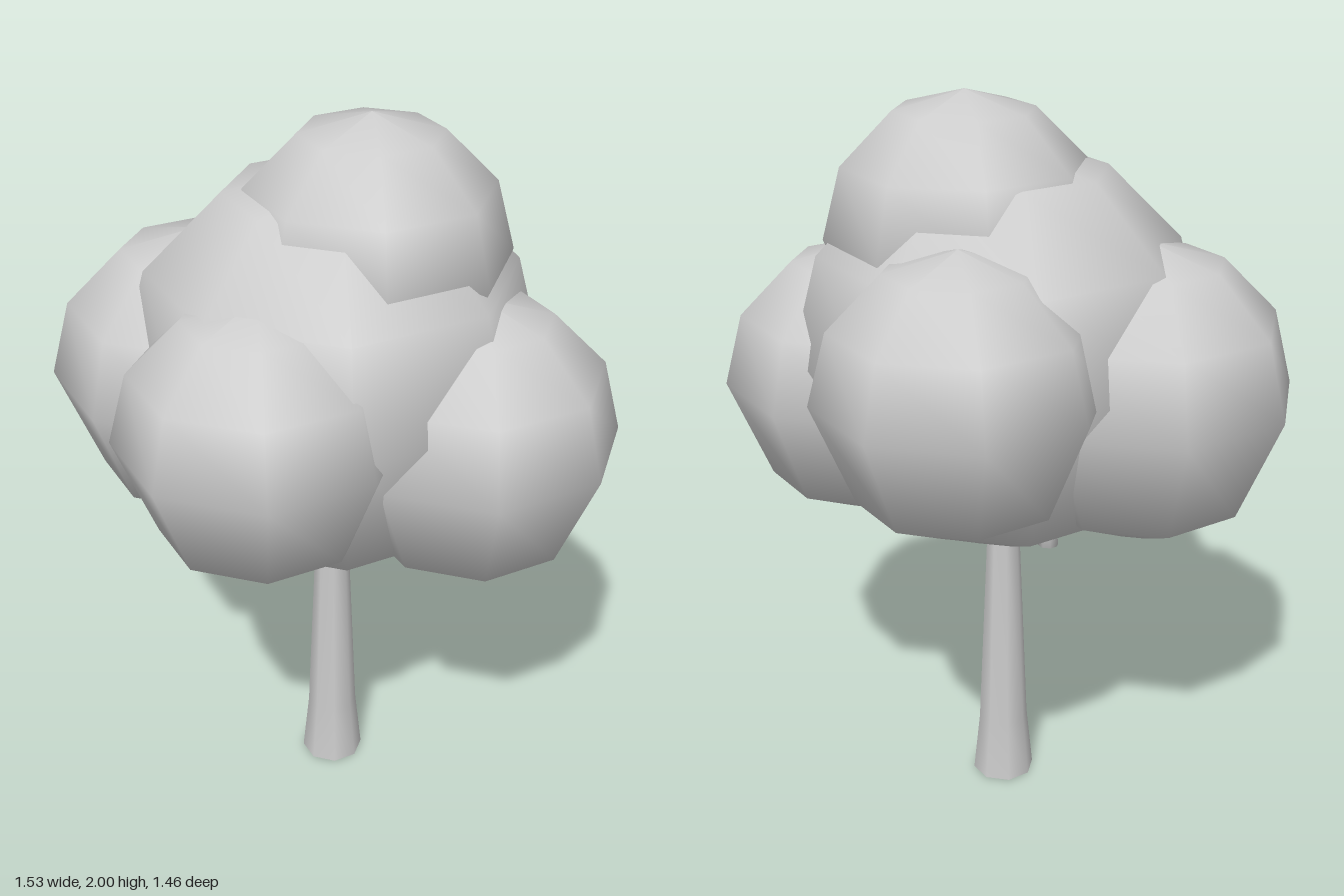
import * as THREE from 'three';

// Unit foliage profile, from the small open underside to the pole
const BLOB = [[0.2, -0.97], [0.71, -0.71], [1, 0], [0.866, 0.5], [0.5, 0.866], [0, 1]];

export function createModel() {
  const tree = new THREE.Group();
  tree.name = 'tree';
  const grey = new THREE.MeshStandardMaterial({ color: 0xcccccc, side: THREE.DoubleSide });
  grey.name = 'pale grey';

  const lathe = (name, profile, sides, x, y, z) => {
    const points = profile.map(([r, h]) => new THREE.Vector2(r, h));
    const mesh = new THREE.Mesh(new THREE.LatheGeometry(points, sides), grey);
    mesh.name = name;
    mesh.position.set(x, y, z);
    tree.add(mesh);
    return mesh;
  };

  // Flared trunk, open at the foot
  lathe('trunk', [[0.088, 0], [0.07, 0.18], [0.046, 0.77], [0.035, 1.3]], 8, -0.01, 0, -0.008);

  // Short branch stubs under the crown
  lathe('leftBranch', [[0, 0], [0.029, 0], [0.021, 0.06], [0.018, 0.3]], 8, 0.12, 0.75, -0.045);
  lathe('rightBranch', [[0, 0], [0.029, 0], [0.021, 0.06], [0.018, 0.3]], 8, -0.125, 0.75, 0.045);

  // Overlapping foliage: name, radius, centre
  const foliage = [
    ['coreFoliage', 0.555, 0, 1.32, 0],
    ['frontFoliage', 0.37, 0.06, 1.275, 0.355],
    ['rightFoliage', 0.405, -0.363, 1.237, 0.12],
    ['leftFoliage', 0.385, 0.38, 1.195, -0.105],
    ['backFoliage', 0.37, -0.12, 1.325, -0.36],
    ['topFoliage', 0.367, 0.08, 1.633, -0.05],
  ];
  for (const [name, radius, x, y, z] of foliage) {
    lathe(name, BLOB, 8, x, y, z).scale.setScalar(radius);
  }
  return tree;
}
